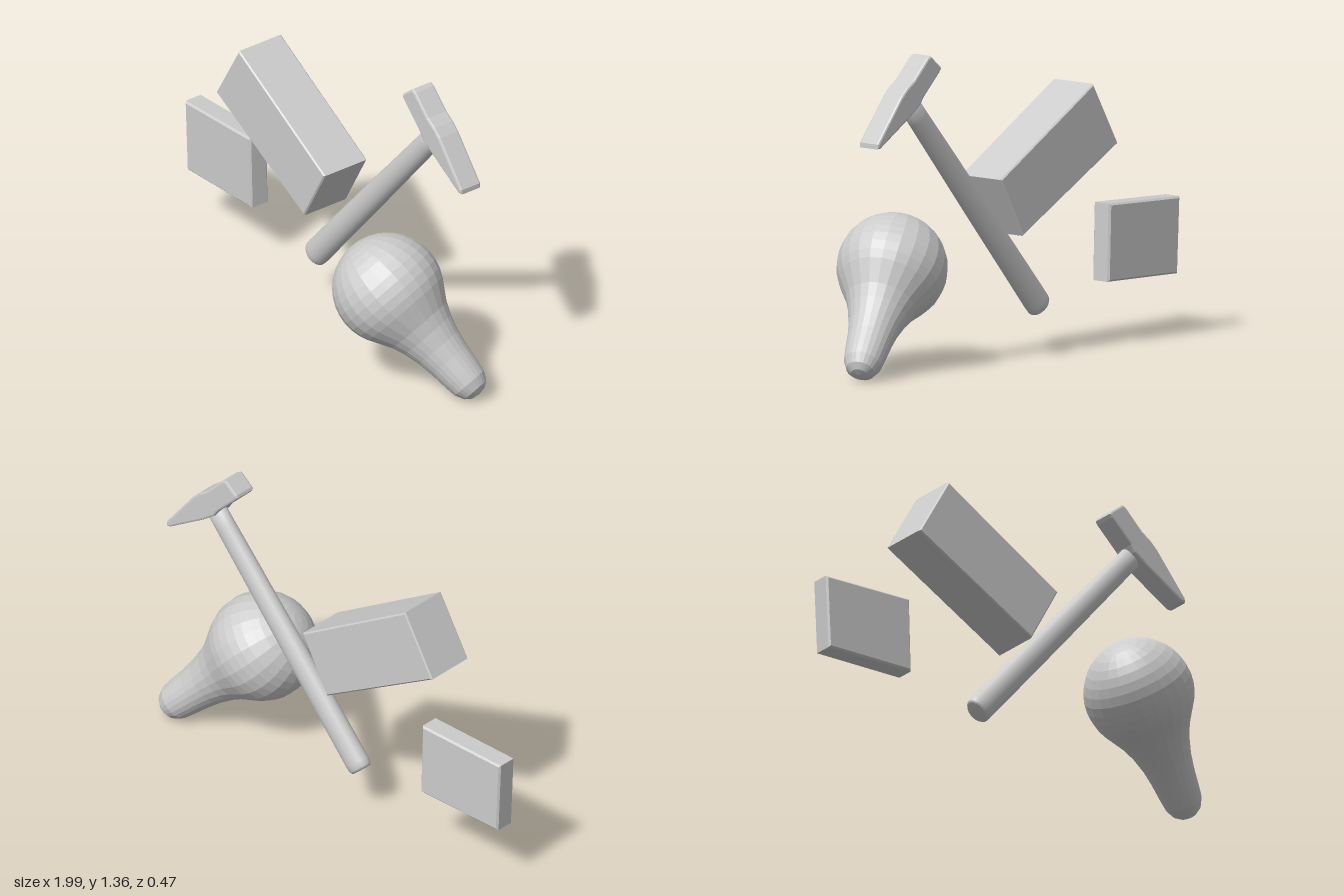
import * as THREE from 'three';

const material = new THREE.MeshStandardMaterial({ color: 0xcccccc });
const facetted = new THREE.MeshStandardMaterial({ color: 0xcccccc, flatShading: true });

// Solid with a front outline, running from zBack to zFront, with softened edges
function slab(name, outline, zBack, zFront, bevel, bevelSegments = 1) {
  const shape = new THREE.Shape(outline.map(([x, y]) => new THREE.Vector2(x, y)));
  const geometry = new THREE.ExtrudeGeometry(shape, {
    depth: zFront - zBack - 2 * bevel,
    bevelSize: bevel, bevelThickness: bevel, bevelOffset: -bevel, bevelSegments,
  });
  geometry.translate(0, 0, zBack + bevel);
  const mesh = new THREE.Mesh(geometry, facetted);
  mesh.name = name;
  return mesh;
}

// Turned solid along the line from start to end; profile is [radius, distance]
function turned(name, profile, start, end, sides, mat) {
  const points = profile.map(([r, t]) => new THREE.Vector2(r, t));
  const mesh = new THREE.Mesh(new THREE.LatheGeometry(points, sides), mat);
  const direction = end.clone().sub(start).normalize();
  mesh.quaternion.setFromUnitVectors(new THREE.Vector3(0, 1, 0), direction);
  mesh.position.copy(start);
  mesh.name = name;
  return mesh;
}

export function createModel() {
  const model = new THREE.Group();

  // Two loose blocks
  model.add(slab('smallBlock',
    [[-0.985, 0.27], [-0.545, 0.28], [-0.555, 0.615], [-1, 0.6]], -0.235, -0.14, 0.008));
  model.add(slab('largeBlock',
    [[-0.61, 0.87], [-0.01, 0.535], [0.13, 0.79], [-0.455, 1.14]], -0.232, 0, 0.006));

  // Hammer: oval tapering handle and wedge-shaped head
  const hammer = new THREE.Group();
  hammer.name = 'hammer';
  const start = new THREE.Vector3(-0.167, 0.21, -0.185);
  const end = new THREE.Vector3(0.67, 1.18, -0.183);
  const length = start.distanceTo(end);
  const handle = turned('handle', [
    [0, 0], [0.048, 0], [0.058, 0.012], [0.06, 0.04],
    [0.056, length * 0.5], [0.05, length - 0.1], [0.05, length], [0, length],
  ], start, end, 20, material);
  // Flatten the handle's section toward the front and back
  handle.rotation.set(0, 0, Math.atan2(end.y - start.y, end.x - start.x) - Math.PI / 2);
  handle.scale.z = 0.8;
  hammer.add(handle);
  hammer.add(slab('hammerHead', [
    [0.503, 1.308], [0.515, 1.292], [0.615, 1.195], [0.635, 1.165], [0.7, 1.118],
    [0.885, 1.005], [0.906, 1.004], [0.905, 1.025], [0.755, 1.212], [0.72, 1.245],
    [0.675, 1.275], [0.59, 1.36], [0.57, 1.37], [0.508, 1.32],
  ], -0.232, -0.123, 0.009, 2));
  model.add(hammer);

  // Bulb: round globe flowing into a narrow neck with a rounded tip
  const R = 0.237;
  const profile = [];
  for (let i = 0; i <= 12; i++) {
    const a = -Math.PI / 2 + (i / 12) * (Math.PI / 2 + 0.5);
    profile.push([Math.max(0, R * Math.cos(a)), R * Math.sin(a)]);
  }
  profile.push([0.18, 0.16], [0.153, 0.205], [0.13, 0.26], [0.11, 0.33], [0.098, 0.4],
    [0.089, 0.48], [0.082, 0.53], [0.062, 0.57], [0.035, 0.59], [0, 0.595]);
  model.add(turned('bulb', profile, new THREE.Vector3(0.562, 0.438, 0),
    new THREE.Vector3(0.907, 0.093, -0.15), 24, facetted));

  return model;
}
